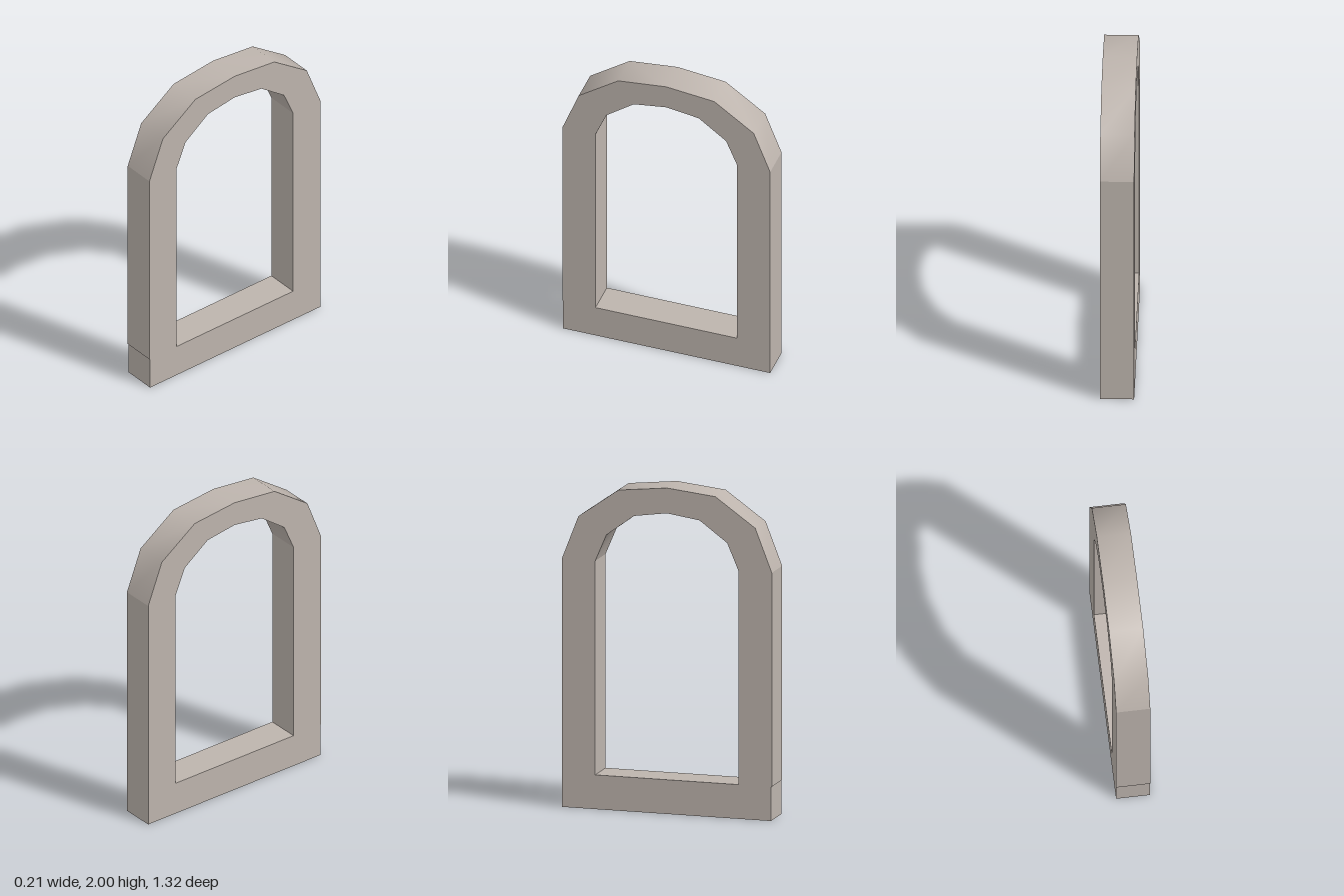
import * as THREE from 'three';
import { toCreasedNormals } from 'three/addons/utils/BufferGeometryUtils.js';

export function createModel() {
  const group = new THREE.Group();
  const stone = new THREE.MeshStandardMaterial({ color: 0xbdb4ad });
  stone.name = 'warm grey stone';

  const thickness = 0.206; // along x
  const sillTop = 0.21;
  const springLine = 1.523;
  const outer = 0.66;
  const inner = 0.45;

  const add = (name, geometry) => {
    const mesh = new THREE.Mesh(geometry, stone);
    mesh.name = name;
    group.add(mesh);
    return mesh;
  };

  // Sill across the bottom
  add('sill', new THREE.BoxGeometry(thickness, sillTop, 1.315))
    .position.set(0, sillTop / 2, -0.0025);

  // Two straight posts
  for (const [name, side] of [['frontPost', 1], ['backPost', -1]]) {
    const height = springLine - sillTop;
    add(name, new THREE.BoxGeometry(thickness, height, outer - inner))
      .position.set(0, sillTop + height / 2, side * (outer + inner) / 2);
  }

  // Faceted arch: half profiles as [z, y], mirrored about the crown
  const mirror = half => [...half, ...half.slice(0, -1).reverse().map(([z, y]) => [-z, y])];
  const outside = mirror([[outer, springLine], [0.556, 1.79], [0.305, 1.967], [0, 2]]);
  const inside = mirror([[inner, springLine], [0.38, 1.687], [0.206, 1.815], [0, 1.845]]);
  const outline = [...outside, ...inside.reverse()].map(([z, y]) => new THREE.Vector2(z, y));
  const arch = new THREE.ExtrudeGeometry(new THREE.Shape(outline), {
    depth: thickness, bevelEnabled: false,
  });
  arch.translate(0, 0, -thickness / 2);
  arch.rotateY(-Math.PI / 2);
  // Smooth along the curve, sharp at the flat sides
  add('arch', toCreasedNormals(arch, 0.7));

  return group;
}
